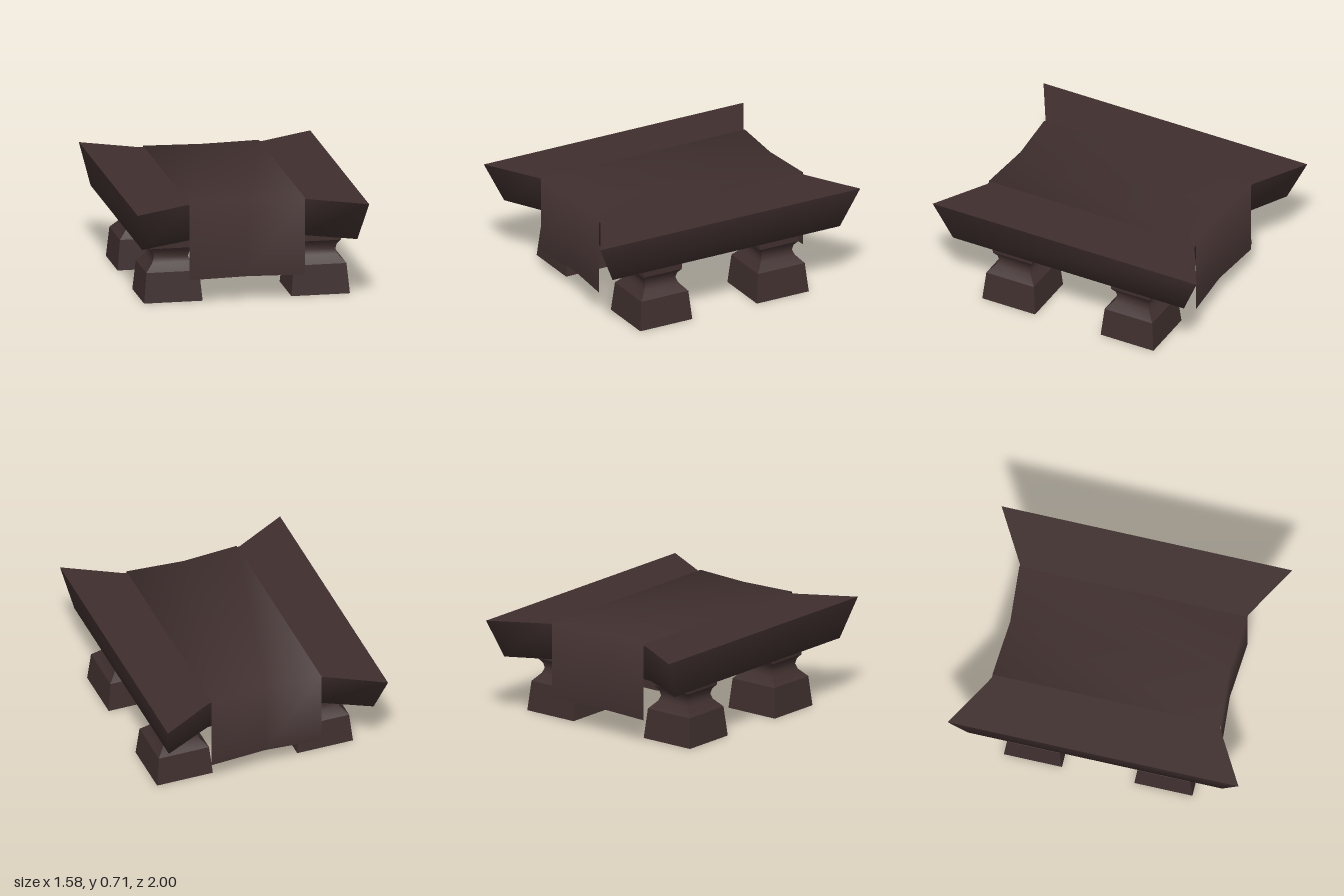
import * as THREE from 'three';
import { toCreasedNormals } from 'three/addons/utils/BufferGeometryUtils.js';

const wood = new THREE.MeshStandardMaterial({ color: 0x3f2f2e });
wood.name = 'dark wood';
const cloth = new THREE.MeshStandardMaterial({ color: 0x3f2f2e, side: THREE.DoubleSide });
cloth.name = 'dark cloth';

function add(group, geometry, material, name) {
  const mesh = new THREE.Mesh(geometry, material);
  mesh.name = name;
  group.add(mesh);
  return mesh;
}

// Closed outline with flared corners and waisted short ends
function outline(cornerX, cornerZ, notchX, notchZ, midZ) {
  return [
    [cornerX, cornerZ], [cornerX, -cornerZ], [notchX, -notchZ], [0, -midZ], [-notchX, -notchZ],
    [-cornerX, -cornerZ], [-cornerX, cornerZ], [-notchX, notchZ], [0, midZ], [notchX, notchZ],
  ];
}

function capFaces(loop) {
  return THREE.ShapeUtils.triangulateShape(loop.map(([x, z]) => new THREE.Vector2(x, -z)), []);
}

function meshFrom(positions, indices) {
  const g = new THREE.BufferGeometry();
  g.setAttribute('position', new THREE.Float32BufferAttribute(positions, 3));
  g.setIndex(indices);
  g.computeVertexNormals();
  return g;
}

export function createModel() {
  const model = new THREE.Group();
  model.name = 'lowTable';

  // Slab: flat top, sloping sides blended smoothly into the underside
  const upper = outline(0.79, 1, 0.415, 0.785, 0.75);
  const lower = outline(0.735, 0.875, 0.385, 0.69, 0.66);
  const n = upper.length;
  const topPos = upper.flatMap(([x, z]) => [x, 0.7, z]);
  const lowPos = lower.flatMap(([x, z]) => [x, 0.43, z]);
  add(model, meshFrom(topPos, capFaces(upper).flat()), wood, 'tableTop');

  const faces = capFaces(lower).flatMap(([a, b, c]) => [a + n, c + n, b + n]);
  for (let i = 0; i < n; i++) {
    const j = (i + 1) % n;
    faces.push(i + n, j + n, j, i + n, j, i);
  }
  add(model, meshFrom([...topPos, ...lowPos], faces), wood, 'tableUnderside');

  // Runner: a sheet over the top that hangs down at both ends
  const sheet = new THREE.PlaneGeometry(0.79, 1, 2, 3);
  const p = sheet.attributes.position;
  const rows = [[0.18, -1], [0.71, -1], [0.71, 1], [0.18, 1]];
  for (let i = 0; i < p.count; i++) {
    const [y, side] = rows[Math.floor(i / 3)];
    const x = p.getX(i);
    p.setXYZ(i, x, y, side * (0.755 + 0.03 * Math.abs(x) / 0.395));
  }
  sheet.computeVertexNormals();
  add(model, sheet, cloth, 'runner');

  // Legs: square balusters with a flared foot, narrow waist and block capital
  const profile = [
    [0, 0], [0.2, 0], [0.18, 0.205], [0.13, 0.26], [0.117, 0.295],
    [0.125, 0.33], [0.148, 0.36], [0.15, 0.435],
  ].map(([r, y]) => new THREE.Vector2(r * Math.SQRT2, y));
  const legGeometry = toCreasedNormals(
    new THREE.LatheGeometry(profile, 4).rotateY(Math.PI / 4), 0.6);
  for (const [x, sideName] of [[0.528, 'Left'], [-0.478, 'Right']]) {
    for (const [z, endName] of [[0.457, 'front'], [-0.44, 'back']]) {
      add(model, legGeometry, wood, `${endName}${sideName}Leg`).position.set(x, 0, z);
    }
  }
  return model;
}
